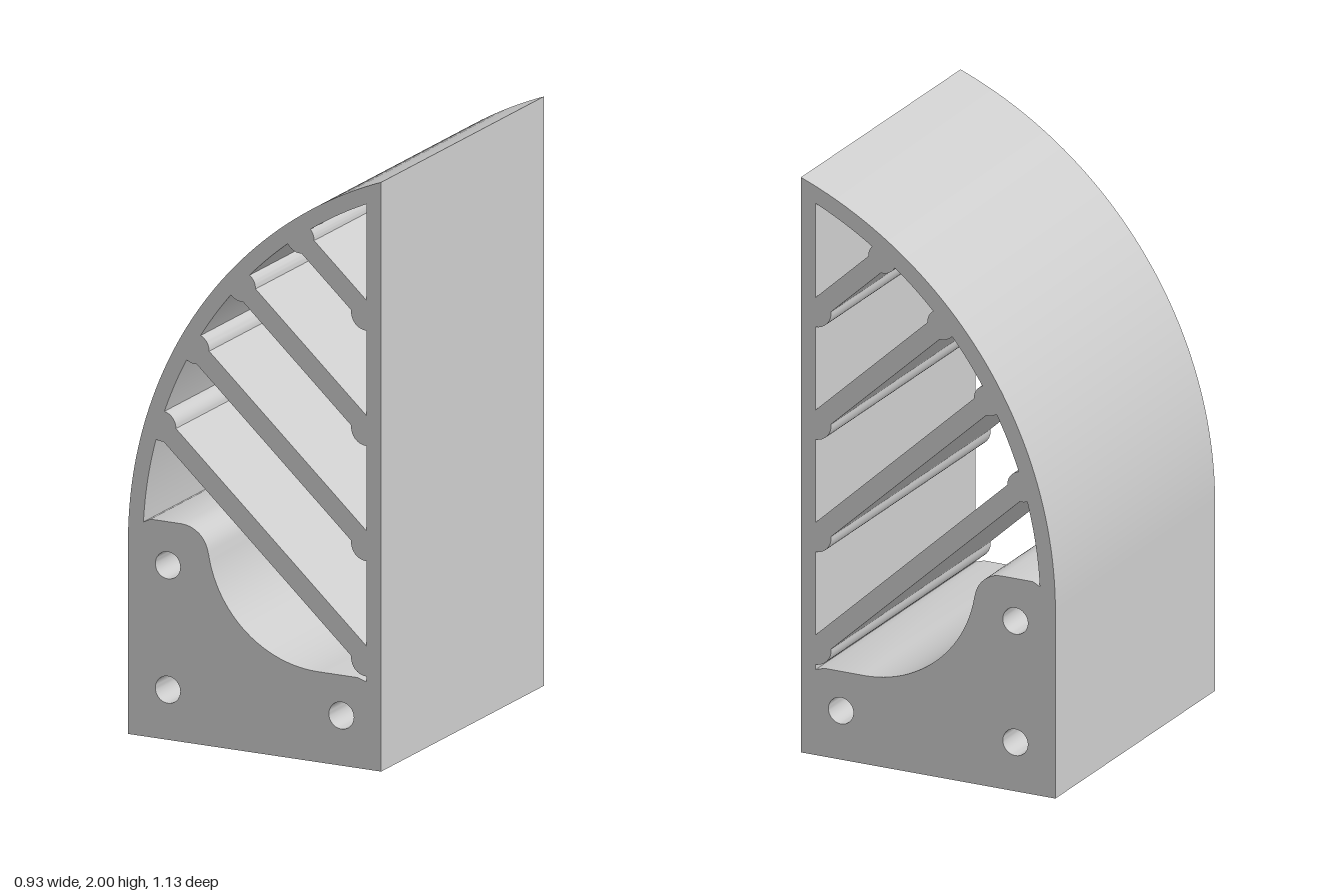
import * as THREE from 'three';
import { toCreasedNormals } from 'three/addons/utils/BufferGeometryUtils.js';

const DEPTH = 1.13;
const HALF = 0.467;                                // half width of the body
const WALL = 0.413;                                // inner face of the straight wall
const ARC = new THREE.Vector2(0.975, 0.65);        // centre of the curved wall
const R_OUT = 1.442, R_IN = 1.387;
const STRUTS = 4, SLOPE = Math.atan(0.913), HALF_T = 0.034;
const R_RIGHT = 0.057, R_LEFT = 0.052;             // beads at the strut ends

const V = (x, y) => new THREE.Vector2(x, y);
const polar = (c, r, a) => V(c.x + r * Math.cos(a), c.y + r * Math.sin(a));
const arc = (c, r, a0, a1, n) =>
  Array.from({ length: n + 1 }, (_, i) => polar(c, r, a0 + ((a1 - a0) * i) / n));
const angleFrom = (c, p) => Math.atan2(p.y - c.y, p.x - c.x);

// Outline of the upper and lower side of one sloping strut with its end beads
function makeStrut(i) {
  const right = V(WALL, 0.372 + 0.391 * i);
  const dir = V(-Math.cos(SLOPE), Math.sin(SLOPE));
  const seat = R_IN - 0.007;                       // bead centres follow the curved wall
  const v = right.clone().sub(ARC);
  const b = v.dot(dir);
  const len = -b + Math.sqrt(b * b - v.lengthSq() + seat * seat);
  const left = right.clone().addScaledVector(dir, len);

  // where the left bead meets the curved wall
  const t = angleFrom(ARC, left);
  const d = Math.acos((seat * seat + R_IN * R_IN - R_LEFT * R_LEFT) / (2 * seat * R_IN));
  const topAngle = t - d, bottomAngle = t + d;
  const aTop = angleFrom(left, polar(ARC, R_IN, topAngle));
  const aBottom = angleFrom(left, polar(ARC, R_IN, bottomAngle));
  const spread = Math.asin(HALF_T / R_LEFT);

  return {
    topAngle,
    bottomAngle,
    over: [
      ...arc(left, R_LEFT, aTop, -SLOPE + spread, 8),
      V(WALL, right.y + HALF_T / Math.cos(SLOPE)),
    ],
    under: [
      ...arc(right, R_RIGHT, Math.PI * 1.5, Math.PI - SLOPE + Math.asin(HALF_T / R_RIGHT), 8),
      ...arc(left, R_LEFT, -SLOPE - spread, aBottom, 6),
    ],
  };
}

// Top edge of the solid base: shoulder, rounded corner, hollow, flat
const baseTop = [
  V(-0.384, 0.74),
  ...arc(V(-0.27, 0.64), 0.1, Math.PI / 2, 0.16, 10),
  ...arc(V(0.235, 0.717), 0.41, Math.PI * 1.055, Math.PI * 1.5, 24),
  V(0.38, 0.307),
  V(WALL, 0.297),
];

export function createModel() {
  const group = new THREE.Group();
  group.name = 'ribbedBracket';

  // Outer silhouette
  const topAngle = Math.PI - Math.acos((ARC.x - HALF) / R_OUT);
  const shape = new THREE.Shape([
    V(-HALF, 0),
    V(HALF, 0),
    ...arc(ARC, R_OUT, topAngle, Math.PI, 48),
  ]);

  // Open cells above, between and below the struts
  const struts = Array.from({ length: STRUTS }, (_, i) => makeStrut(i));
  const cornerAngle = Math.PI - Math.acos((ARC.x - WALL) / R_IN);
  const baseAngle = Math.PI - Math.asin(0.077 / R_IN);
  for (let i = 0; i <= STRUTS; i++) {
    const upper = struts[i], lower = struts[i - 1];
    const from = upper ? upper.bottomAngle : cornerAngle;
    const to = lower ? lower.topAngle : baseAngle;
    shape.holes.push(new THREE.Path([
      ...(upper ? upper.under.slice(0, -1) : []),
      ...arc(ARC, R_IN, from, to, 12),
      ...(lower ? lower.over.slice(1) : baseTop),
    ]));
  }

  // Bolt holes through the base
  for (const [x, y] of [[-0.32, 0.592], [-0.32, 0.17], [0.32, 0.17]]) {
    shape.holes.push(new THREE.Path(arc(V(x, y), 0.046, 0, Math.PI * 2, 32).slice(0, -1)));
  }

  const geometry = new THREE.ExtrudeGeometry(shape, { depth: DEPTH, bevelEnabled: false });
  geometry.translate(0, 0, -DEPTH / 2);
  const body = new THREE.Mesh(
    toCreasedNormals(geometry, 0.5),
    new THREE.MeshStandardMaterial({ color: 0xcccccc })
  );
  body.name = 'ribbedBody';
  group.add(body);
  return group;
}
